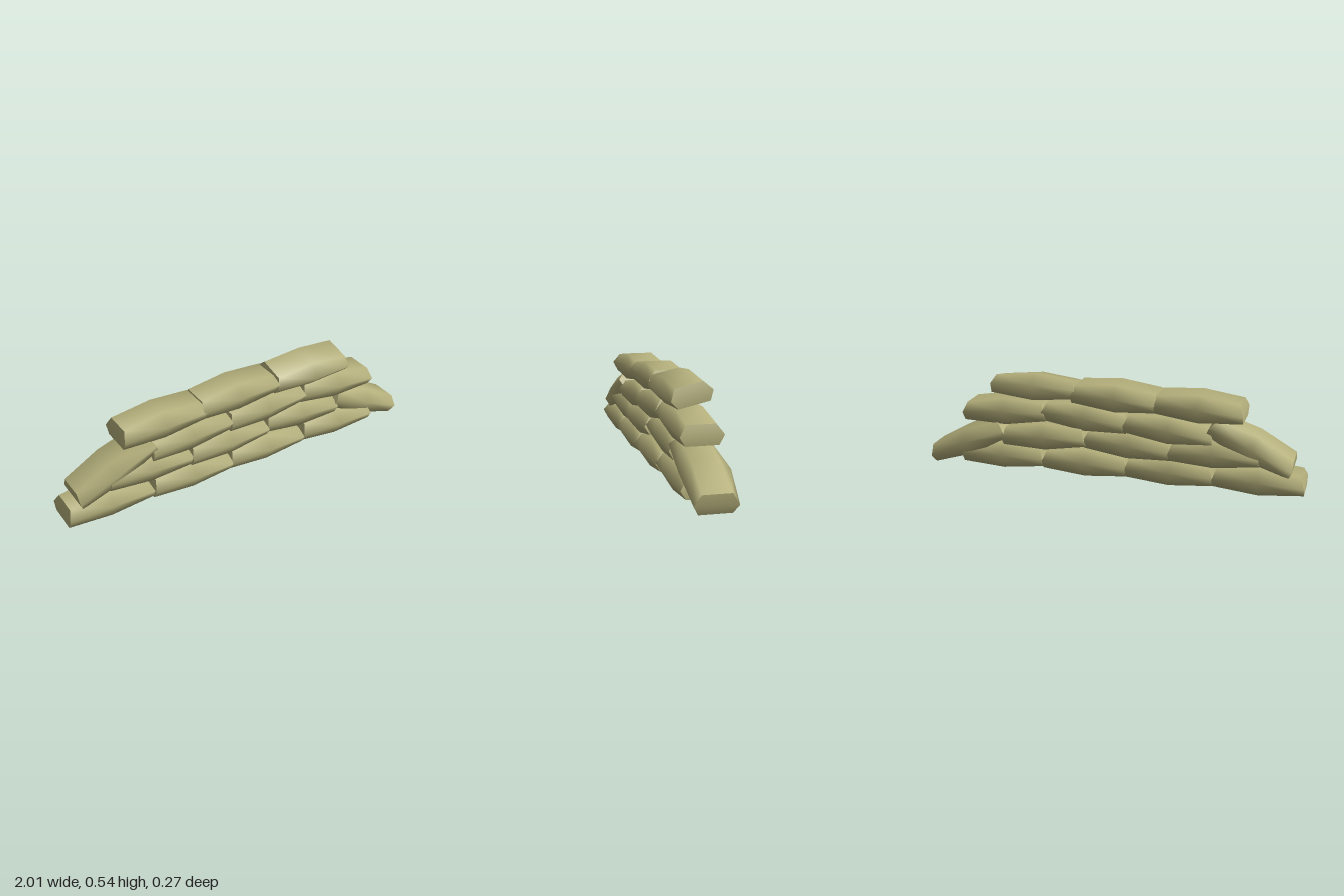
import * as THREE from 'three';

// Hexagonal cross-sections as [z, y], running front -> top -> back -> bottom
const END = [[0.108, -0.005], [0.075, 0.047], [-0.065, 0.047], [-0.1, 0.0], [-0.075, -0.047], [0.082, -0.047]];
const MIDDLE = [[0.133, 0.012], [0.072, 0.071], [-0.062, 0.071], [-0.11, 0.008], [-0.07, -0.071], [0.08, -0.071]];

// A filled bag: swollen middle ring, narrower ends, smooth sides and flat caps
function bagGeometry(length) {
  const positions = [], index = [], n = END.length;
  const addRing = (section, x) => {
    for (const [z, y] of section) {
      const slant = 1 - 0.045 * Math.sign(x) * Math.sign(x) * (y > 0.01 ? 1.8 : 0);
      positions.push(x * slant, y, z);
    }
  };
  const half = length / 2;
  addRing(END, -half);
  addRing(MIDDLE, 0);
  addRing(END, half);
  for (let i = 0; i < 2; i++) {
    for (let j = 0; j < n; j++) {
      const a = i * n + j, c = i * n + (j + 1) % n;
      index.push(a, a + n, c, a + n, c + n, c);
    }
  }
  // Caps have their own corners so the rim stays sharp
  addRing(END, -half);
  addRing(END, half);
  for (let j = 1; j < n - 1; j++) {
    index.push(3 * n, 3 * n + j, 3 * n + j + 1);
    index.push(4 * n, 4 * n + j + 1, 4 * n + j);
  }
  const geometry = new THREE.BufferGeometry();
  geometry.setAttribute('position', new THREE.Float32BufferAttribute(positions, 3));
  geometry.setIndex(index);
  geometry.computeVertexNormals();
  return geometry;
}

// Each bag: x, y, tilt in degrees, turned back to front, roll in degrees
const ROWS = {
  bottomRow: [
    [-0.77, 0.085, 0, true, 0],
    [-0.31, 0.081, 0, false, 0],
    [0.14, 0.081, 0, false, 0],
    [0.60, 0.079, -2, false, 0],
  ],
  secondRow: [
    [-0.54, 0.205, -2, true, 0],
    [-0.09, 0.205, 3, false, 0],
    [0.365, 0.208, -4, true, 0],
  ],
  thirdRow: [
    [-0.305, 0.31, 4, true, 0],
    [0.14, 0.332, 4, false, 0],
    [0.585, 0.325, -4, false, 0],
  ],
  topRow: [
    [-0.455, 0.436, 2, true, 0],
    [-0.025, 0.452, 2, true, 0],
    [0.418, 0.461, 0, false, 13],
  ],
  slumpedBags: [
    [-0.728, 0.256, 24, true, 0],
    [0.80, 0.137, -23, true, 0],
  ],
};

export function createModel() {
  const model = new THREE.Group();
  model.name = 'sandbagWall';
  const geometry = bagGeometry(0.46);
  const cloth = new THREE.MeshStandardMaterial({ color: 0xb5b07c });

  for (const [rowName, bags] of Object.entries(ROWS)) {
    const row = new THREE.Group();
    row.name = rowName;
    bags.forEach(([x, y, tilt, turned, roll], i) => {
      const bag = new THREE.Mesh(geometry, cloth);
      bag.name = `sandbag${i + 1}`;
      bag.position.set(x, y, 0);
      // Turn first, then roll, then tilt along the wall
      bag.rotation.set(
        THREE.MathUtils.degToRad(roll),
        turned ? Math.PI : 0,
        THREE.MathUtils.degToRad(tilt),
        'ZXY',
      );
      row.add(bag);
    });
    model.add(row);
  }
  return model;
}
